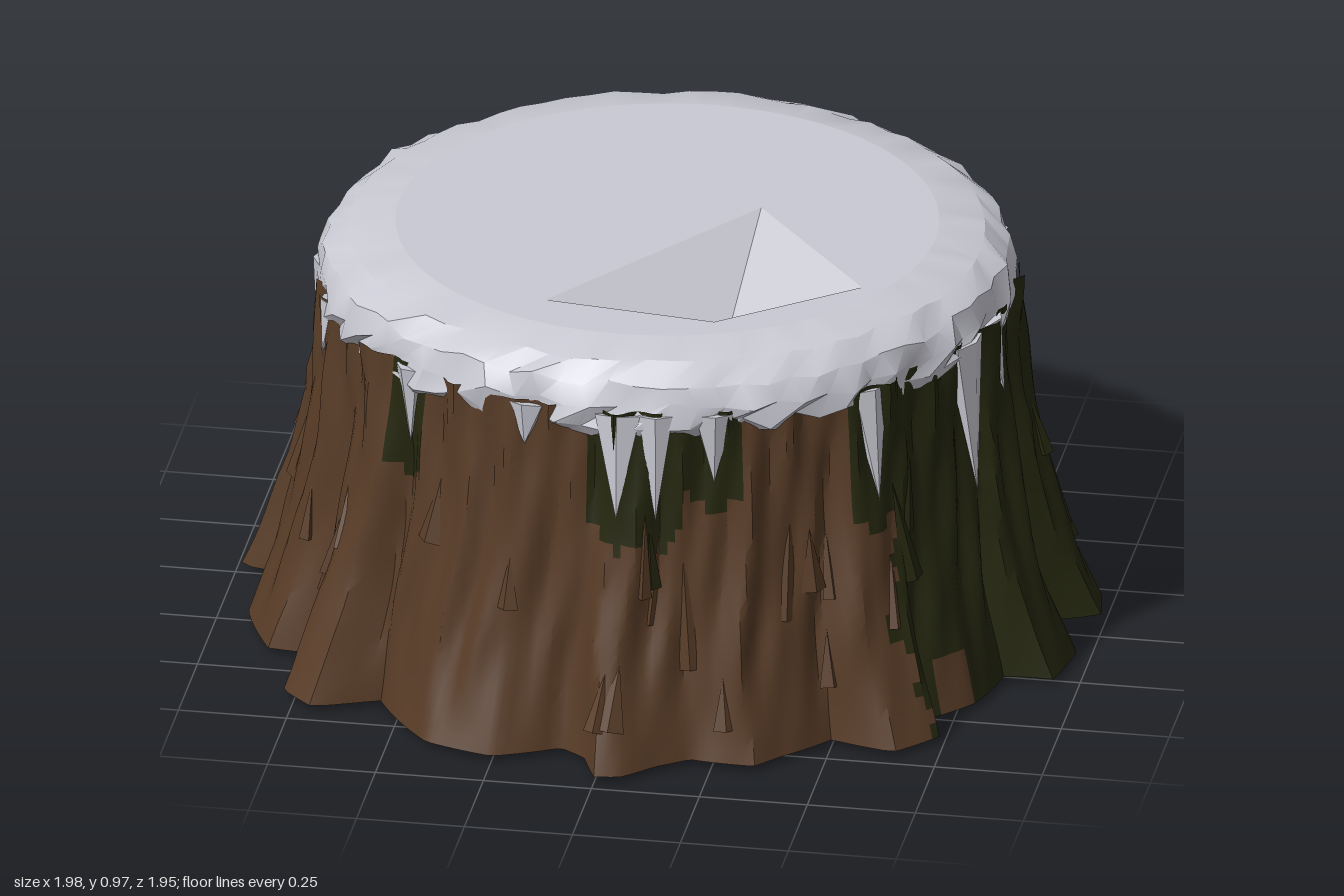
import * as THREE from 'three';
import { toCreasedNormals } from 'three/addons/utils/BufferGeometryUtils.js';

const TAU = Math.PI * 2;

// Root outline on the ground, as x, z pairs
const ROOTS = [
  [.06, .96], [.13, .89], [.2, .84], [.35, .85], [.4, .79], [.5, .68], [.65, .72], [.74, .62], [.69, .54],
  [.79, .43], [.83, .27], [.94, .28], [.97, .11], [.83, .03], [.86, -.03], [.99, -.08], [.97, -.2], [.8, -.23],
  [.74, -.38], [.87, -.49], [.79, -.61], [.63, -.56], [.6, -.75], [.48, -.85], [.41, -.8], [.28, -.81],
  [.28, -.92], [.13, -.98], [.03, -.83], [-.05, -.98], [-.12, -.98], [-.2, -.92], [-.24, -.82], [-.34, -.84],
  [-.5, -.75], [-.56, -.72], [-.66, -.75], [-.78, -.67], [-.74, -.57], [-.83, -.52], [-.85, -.35], [-.82, -.22],
  [-.94, -.17], [-.9, -.1], [-1, -.01], [-.83, .03], [-.87, .06], [-.93, .23], [-.85, .42], [-.74, .43],
  [-.72, .5], [-.78, .63], [-.7, .71], [-.55, .65], [-.41, .85], [-.25, .9], [-.1, .83], [-.04, .87], [0, .97],
];
const wrap = a => ((a % TAU) + TAU) % TAU;
const polar = ROOTS.map(([x, z]) => [wrap(Math.atan2(x, z)), Math.hypot(x, z)]).sort((p, q) => p[0] - q[0]);

// Icicles: angle, half width, tip height
const ICICLES = [
  [-.675, .04, .64], [.03, .06, .58], [.14, .045, .57], [.31, .05, .66], [.8, .05, .56], [1.23, .065, .46],
  [1.4, .05, .65], [2.03, .04, .64], [2.15, .04, .6], [2.57, .045, .58], [2.77, .05, .58], [2.9, .04, .54],
  [3.08, .04, .62], [4.81, .05, .58], [5.1, .04, .7], [-.25, .05, .73],
];

function rootRadius(angle) {
  const a = wrap(angle), n = polar.length;
  let i = polar.findIndex(p => p[0] > a);
  if (i < 0) i = 0;
  const q = polar[i], p = polar[(i + n - 1) % n];
  const span = wrap(q[0] - p[0]) || 1;
  return p[1] + (q[1] - p[1]) * wrap(a - p[0]) / span;
}

// Trunk radius: straight near the top, flaring into the roots
function wallRadius(a, y) {
  const flare = Math.pow(Math.max(0, 1 - y / .84), 2.1);
  const root = rootRadius(a + .05 * Math.sin(y * 7) * y);
  const top = .785 + (root - .9) * .22;
  const bark = .008 * Math.sin(a * 37 + Math.sin(y * 9) * 1.5) + .006 * Math.sin(a * 61 - y * 8);
  return top + (root - top) * flare + bark * Math.min(1, y * 4);
}

function isMoss(angle, y) {
  const a = wrap(angle), wave = .03 * Math.sin(y * 17) + .02 * Math.sin(y * 41);
  if (a > .83 + wave && a < 4.15 + wave - .1 * (y - .3)) {
    const strip = y > .24 && a > 3.82 + wave && a < 3.98 + wave;
    const fleck = y < .14 && Math.abs(a - 1.02) < .05;
    return !strip && !fleck;
  }
  if (y < .24 && y > .06 && Math.abs(a - 4.8) < .05 * Math.sin(y * 14)) return true;
  // moss fringe under the icicles
  return ICICLES.some(([ia, w, tip]) => {
    if (tip > .69) return false;
    const d = Math.abs(wrap(a - ia + Math.PI) - Math.PI);
    return d < w * 1.5 + .01 && y > tip - .09 + d * .8;
  });
}

function seeded(seed) {
  return () => (seed = (seed * 16807) % 2147483647) / 2147483647;
}

// Closed ring of quads, rows run upwards; pick() gives the material index
function ringGeometry(cols, rows, point, pick, crease) {
  const pos = [], faces = [[], []];
  for (let j = 0; j <= rows; j++) for (let i = 0; i < cols; i++) pos.push(...point(i, j));
  for (let j = 0; j < rows; j++) for (let i = 0; i < cols; i++) {
    const k = (i + 1) % cols, a = j * cols + i, b = j * cols + k, c = a + cols, d = b + cols;
    faces[pick(i, j)].push(a, b, d, a, d, c);
  }
  const g = new THREE.BufferGeometry();
  g.setAttribute('position', new THREE.Float32BufferAttribute(pos, 3));
  g.setIndex([...faces[0], ...faces[1]]);
  g.addGroup(0, faces[0].length, 0);
  if (faces[1].length) g.addGroup(faces[0].length, faces[1].length, 1);
  return toCreasedNormals(g, crease);
}

export function createModel() {
  const model = new THREE.Group();
  const material = (name, color) => {
    const m = new THREE.MeshStandardMaterial({ color });
    m.name = name;
    return m;
  };
  const bark = material('bark', 0x583c27), moss = material('moss', 0x25270f), snow = material('snow', 0xcacad4);
  const add = (name, geometry, mat, parent = model) => {
    const mesh = new THREE.Mesh(geometry, mat);
    mesh.name = name;
    parent.add(mesh);
    return mesh;
  };
  const rand = seeded(77);

  // Trunk wall, mossy on the far side
  const cols = 288, rows = 26, height = .84;
  add('trunk', ringGeometry(cols, rows, (i, j) => {
    const a = i / cols * TAU, y = j / rows * height, r = wallRadius(a, y);
    return [r * Math.sin(a), y, r * Math.cos(a)];
  }, (i, j) => isMoss((i + .5) / cols * TAU, (j + .5) / rows * height) ? 1 : 0, .6), [bark, moss]);

  // Underside with a mossy patch
  const flat = pts => new THREE.ShapeGeometry(new THREE.Shape(pts.map(p => new THREE.Vector2(p[0], p[1])))).rotateX(Math.PI / 2);
  const base = Array.from({ length: cols }, (_, i) => {
    const a = i / cols * TAU, r = wallRadius(a, 0);
    return [r * Math.sin(a), r * Math.cos(a)];
  });
  add('underside', flat(base), bark).position.y = .004;
  add('undersideMoss', flat([[.64, -.31], [.5, -.72], [.08, -.84], [.3, -.18]]), moss);

  // Loose slivers of bark along the wall
  const slivers = new THREE.Group();
  slivers.name = 'barkSlivers';
  model.add(slivers);
  for (let i = 0; i < 44; i++) {
    const a = rand() * TAU, y = .1 + rand() * .5, h = .12 + rand() * .16, r = wallRadius(a, y);
    const g = new THREE.ConeGeometry(1, 1, 4).toNonIndexed();
    g.computeVertexNormals();
    const s = add('barkSliver', g, isMoss(a, y) ? moss : bark, slivers);
    s.scale.set(.018 + rand() * .02, h, .018);
    s.position.set(r * Math.sin(a), y, r * Math.cos(a));
    const slope = (wallRadius(a, y - .06) - wallRadius(a, y + .06)) / .12;
    s.rotation.set(-Math.atan(Math.min(.7, Math.max(0, slope))), a, (rand() - .5) * .3, 'YXZ');
  }

  // Snow cap: lumpy rim from the tucked-in lower edge up to the flat top
  const rim = [[.73, .8, .01], [.775, .775, .022], [.79, .805, .016], [.795, .85, .014], [.778, .9, .01],
    [.725, .936, .006], [.62, .955, 0]];
  const n = 80;
  add('snowRim', ringGeometry(n, rim.length - 1, (i, j) => {
    const [r0, y0, k] = rim[j], a = (i + (j % 2) * .35 * (k ? 1 : 0)) / n * TAU;
    const r = r0 + (rand() - .5) * 2 * k, y = y0 + (rand() - .5) * 2 * k;
    return [r * Math.sin(a), y, r * Math.cos(a)];
  }, () => 0, .5), snow);

  // Flat snow top with a four-cornered hollow
  const corners = [[.2, -.1], [-.2, .47], [.2, .52], [.5, .28]];
  const disc = new THREE.Shape(Array.from({ length: n }, (_, i) => {
    const a = i / n * TAU;
    return new THREE.Vector2(.62 * Math.sin(a), -.62 * Math.cos(a));
  }));
  disc.holes.push(new THREE.Path(corners.map(([x, z]) => new THREE.Vector2(x, -z))));
  add('snowTop', new THREE.ShapeGeometry(disc).rotateX(-Math.PI / 2), snow).position.y = .955;
  const hollow = new THREE.BufferGeometry();
  hollow.setAttribute('position', new THREE.Float32BufferAttribute(
    [...corners.flatMap(([x, z]) => [x, .955, z]), .19, .76, .48], 3));
  hollow.setIndex([0, 1, 4, 1, 2, 4, 2, 3, 4, 3, 0, 4]);
  add('snowHollow', toCreasedNormals(hollow, .7), snow);

  // Icicles hugging the wall
  const icicles = new THREE.Group();
  icicles.name = 'icicles';
  model.add(icicles);
  for (const [a, w, tip] of ICICLES) {
    const h = .83 - tip, top = .775, low = wallRadius(a, tip) + .008, r = (top + low) / 2;
    const g = new THREE.ConeGeometry(1, 1, 6).rotateX(Math.PI).toNonIndexed();
    g.computeVertexNormals();
    const c = add('icicle', g, snow, icicles);
    c.scale.set(w, h, .035);
    c.position.set(r * Math.sin(a), tip + h / 2, r * Math.cos(a));
    c.rotation.set(-Math.atan((low - top) / h), a, 0, 'YXZ');
  }
  return model;
}
